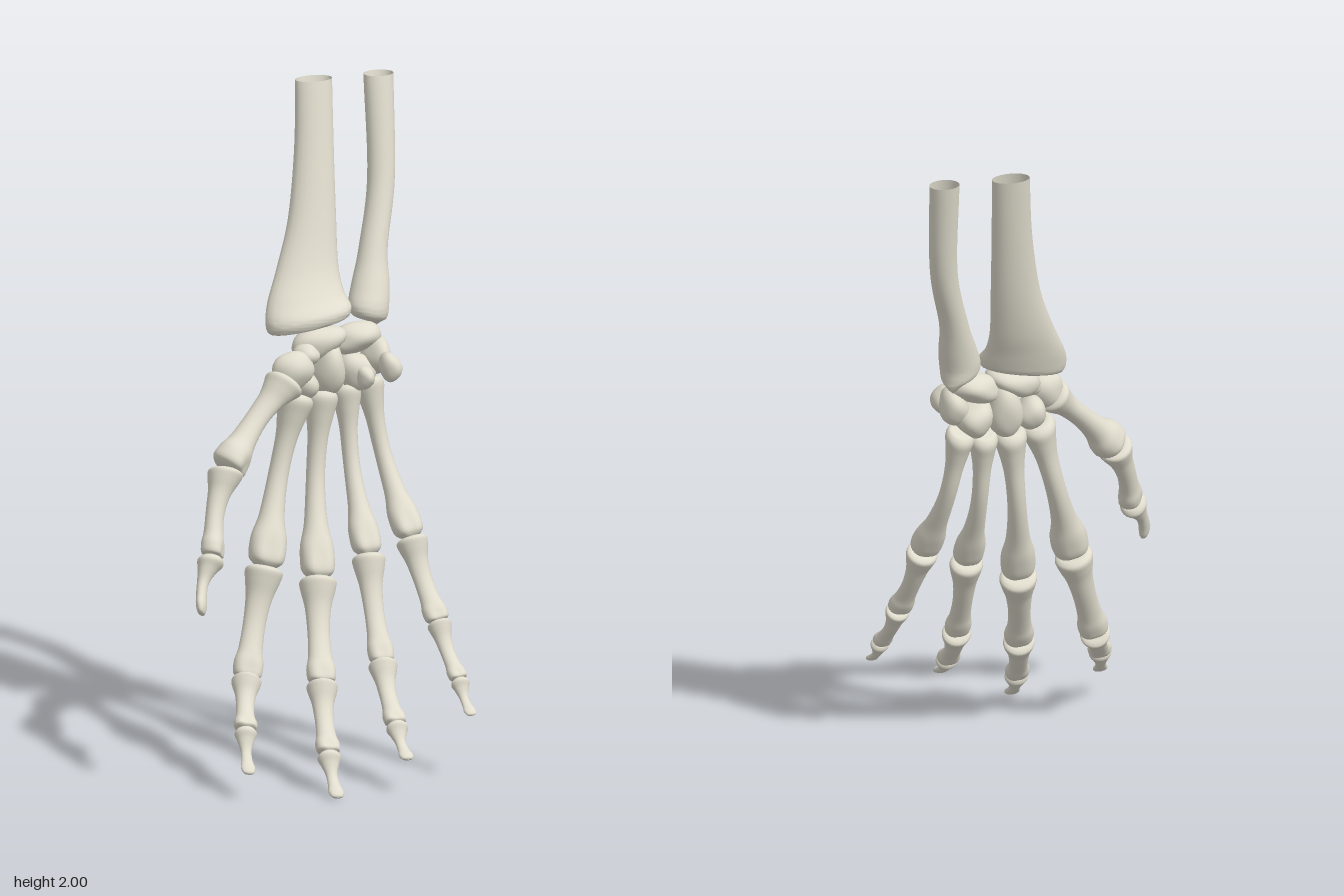
import * as THREE from 'three';
import { mergeVertices, toCreasedNormals } from 'three/addons/utils/BufferGeometryUtils.js';

const V = (x, y, z) => new THREE.Vector3(x, y, z);
const boneMaterial = new THREE.MeshStandardMaterial({ color: 0xe0dccd });
const openBoneMaterial = new THREE.MeshStandardMaterial({ color: 0xe0dccd, side: THREE.DoubleSide });
const SIDES = 24;

function mesh(name, geometry, material = boneMaterial) {
  const m = new THREE.Mesh(geometry, material);
  m.name = name;
  return m;
}

// Skin a list of rings { c: centre, s: side axis, n: palm axis, w, d: half sizes, notch, ridge }
function skin(rings) {
  const pos = [], idx = [];
  for (const { c, s, n, w, d, notch = 0, ridge = 0 } of rings) {
    for (let j = 0; j < SIDES; j++) {
      const a = (j / SIDES) * Math.PI * 2;
      const palm = Math.max(0, Math.sin(a)) ** 6, back = Math.max(0, -Math.sin(a)) ** 6;
      const k = 1 + ridge * Math.cos(2 * a + 0.9);
      const p = c.clone()
        .addScaledVector(s, w * k * Math.cos(a))
        .addScaledVector(n, d * k * Math.sin(a) * (1 - notch * palm - 0.4 * notch * back));
      pos.push(p.x, p.y, p.z);
    }
  }
  for (let i = 0; i < rings.length - 1; i++) {
    for (let j = 0; j < SIDES; j++) {
      const k = (j + 1) % SIDES, a = i * SIDES, b = a + SIDES;
      idx.push(a + j, a + k, b + j, a + k, b + k, b + j);
    }
  }
  const g = new THREE.BufferGeometry();
  g.setAttribute('position', new THREE.Float32BufferAttribute(pos, 3));
  g.setIndex(idx);
  g.computeVertexNormals();
  return g;
}

// Profiles along a bone: [position, half width, half depth], relative to its size
const PROFILES = {
  metacarpal: [[0, 0.01, 0.01], [0.004, 0.78, 0.88], [0.05, 0.96, 1.12], [0.14, 0.8, 0.94], [0.3, 0.58, 0.7],
    [0.52, 0.55, 0.64], [0.72, 0.68, 0.74], [0.86, 1, 1.02], [0.94, 1, 1.14], [0.99, 0.72, 0.8], [1, 0.01, 0.01]],
  phalanx: [[0, 0.01, 0.01], [0.005, 0.85, 0.82], [0.05, 1.04, 1.04], [0.14, 0.95, 0.92], [0.32, 0.72, 0.66],
    [0.58, 0.62, 0.54], [0.76, 0.67, 0.58], [0.88, 0.82, 0.74], [0.95, 0.8, 0.76], [0.99, 0.6, 0.56], [1, 0.01, 0.01]],
  tip: [[0, 0.01, 0.01], [0.01, 0.82, 0.76], [0.1, 1.05, 0.94], [0.25, 0.8, 0.68], [0.5, 0.5, 0.42],
    [0.7, 0.54, 0.38], [0.85, 0.68, 0.38], [0.95, 0.55, 0.28], [1, 0.01, 0.01]],
};

// A long bone between two joints; bow bends its middle towards the back of the hand
function bone(name, kind, from, to, size, bow, sideHint) {
  const dir = to.clone().sub(from).normalize();
  const side = sideHint.clone().addScaledVector(dir, -sideHint.dot(dir)).normalize();
  const palm = dir.clone().cross(side);
  const a = from.clone().addScaledVector(dir, 0.002), b = to.clone().addScaledVector(dir, -0.001);
  const middle = a.clone().lerp(b, 0.45).addScaledVector(palm, -bow);
  const path = new THREE.CatmullRomCurve3([a, middle, b]);
  const profile = new THREE.CatmullRomCurve3(PROFILES[kind].map((p) => V(...p)));
  const rings = [], steps = 44;
  for (let i = 0; i <= steps; i++) {
    const { x: t, y: w, z: d } = profile.getPoint(i / steps);
    const notch = kind === 'tip' ? 0 : 0.28 * THREE.MathUtils.smoothstep(t, 0.76, 0.95);
    rings.push({
      c: path.getPoint(THREE.MathUtils.clamp(t, 0, 1)), s: side, n: palm,
      w: Math.max(w, 0.005) * size, d: Math.max(d, 0.005) * size, notch, ridge: 0.03,
    });
  }
  return mesh(name, skin(rings));
}

// A forearm bone, open at the top, from sections [x, y, z, half width, half depth, slope], top to bottom
function forearmBone(name, sections, ridge) {
  const spline = (pick) => new THREE.CatmullRomCurve3(sections.map(pick), false, 'catmullrom', 0.5);
  const centre = spline((s) => V(s[0], s[1], s[2])), sizes = spline((s) => V(s[3], s[4], s[5]));
  const rings = [], steps = 48;
  for (let i = 0; i <= steps; i++) {
    const { x: w, y: d, z: slope } = sizes.getPoint(i / steps);
    rings.push({
      c: centre.getPoint(i / steps), s: V(1, slope, 0), n: V(0, 0, 1),
      w: Math.max(w, 0.001), d: Math.max(d, 0.001), ridge,
    });
  }
  return mesh(name, toCreasedNormals(skin(rings), 0.9), openBoneMaterial);
}

// A rounded, slightly lumpy wrist bone
function pebble(name, [x, y, z], [rx, ry, rz], tilt, seed) {
  let g = new THREE.SphereGeometry(1, 24, 16);
  g.deleteAttribute('uv');
  g.deleteAttribute('normal');
  g = mergeVertices(g, 1e-4);
  const p = g.attributes.position, v = V(0, 0, 0);
  for (let i = 0; i < p.count; i++) {
    v.fromBufferAttribute(p, i);
    const k = 1 + 0.1 * Math.sin(2.6 * v.x + seed) * Math.cos(2.9 * v.y - seed) + 0.07 * Math.sin(3.1 * v.z + 2 * seed);
    v.multiplyScalar(k);
    p.setXYZ(i, v.x * rx, v.y * ry, v.z * rz);
  }
  g.computeVertexNormals();
  const m = mesh(name, g);
  m.position.set(x, y, z);
  m.rotation.z = tilt;
  return m;
}

export function createModel() {
  const model = new THREE.Group();
  model.name = 'handSkeleton';

  // Forearm
  const forearm = new THREE.Group();
  forearm.name = 'forearm';
  forearm.add(
    forearmBone('radius', [
      [0.155, 2, -0.402, 0.056, 0.041, 0], [0.141, 1.8, -0.357, 0.06, 0.045, 0], [0.118, 1.6, -0.307, 0.073, 0.05, 0],
      [0.088, 1.46, -0.262, 0.094, 0.056, 0], [0.07, 1.38, -0.222, 0.116, 0.066, 0.05], [0.068, 1.335, -0.193, 0.13, 0.078, 0.12],
      [0.068, 1.305, -0.187, 0.124, 0.07, 0.15], [0.068, 1.3, -0.187, 0.1, 0.055, 0.15], [0.07, 1.322, -0.187, 0.002, 0.002, 0.1],
    ], 0.06),
    forearmBone('ulna', [
      [0.36, 2, -0.405, 0.045, 0.041, 0], [0.346, 1.7, -0.338, 0.041, 0.043, 0], [0.3, 1.5, -0.275, 0.043, 0.047, 0],
      [0.279, 1.4, -0.238, 0.057, 0.056, 0], [0.266, 1.34, -0.217, 0.061, 0.062, -0.05], [0.27, 1.305, -0.219, 0.052, 0.056, -0.1],
      [0.288, 1.285, -0.238, 0.026, 0.028, -0.1], [0.294, 1.264, -0.248, 0.002, 0.002, 0],
    ], 0.05),
  );
  model.add(forearm);

  // Wrist
  const wrist = new THREE.Group();
  wrist.name = 'wrist';
  wrist.add(
    pebble('trapezium', [-0.02, 1.187, -0.08], [0.066, 0.058, 0.05], 0.35, 1),
    pebble('trapezoid', [0.03, 1.135, -0.13], [0.046, 0.052, 0.062], 0.2, 2),
    pebble('scaphoid', [0.085, 1.252, -0.165], [0.086, 0.046, 0.06], 0.3, 3),
    pebble('scaphoidTubercle', [0.035, 1.222, -0.115], [0.042, 0.036, 0.045], 0.3, 1.5),
    pebble('lunate', [0.215, 1.25, -0.185], [0.076, 0.045, 0.06], 0.15, 4),
    pebble('capitate', [0.118, 1.165, -0.16], [0.054, 0.09, 0.068], -0.1, 5),
    pebble('hamate', [0.212, 1.15, -0.185], [0.058, 0.06, 0.064], 0.3, 6),
    pebble('hamateHook', [0.225, 1.14, -0.125], [0.026, 0.034, 0.04], 0.2, 7),
    pebble('triquetrum', [0.276, 1.192, -0.168], [0.043, 0.058, 0.068], -0.2, 8),
    pebble('pisiform', [0.287, 1.178, -0.085], [0.033, 0.045, 0.046], 0.1, 9),
  );
  model.add(wrist);

  // Digits: joints from the wrist to the tip, a size for each bone, bow of the first bone
  const digits = [
    ['thumb', [[-0.04, 1.165, -0.07], [-0.268, 0.935, 0.042], [-0.352, 0.7, 0.16], [-0.42, 0.55, 0.255]],
      [0.057, 0.053, 0.043], 0.012],
    ['indexFinger', [[0.01, 1.105, -0.125], [-0.133, 0.615, 0], [-0.23, 0.305, 0.115], [-0.282, 0.19, 0.263], [-0.309, 0.078, 0.375]],
      [0.055, 0.055, 0.043, 0.032], 0.038],
    ['middleFinger', [[0.1, 1.1, -0.16], [0.036, 0.565, -0.007], [-0.008, 0.285, 0.162], [-0.042, 0.112, 0.327], [-0.053, 0.002, 0.447]],
      [0.051, 0.054, 0.045, 0.034], 0.045],
    ['ringFinger', [[0.185, 1.105, -0.185], [0.194, 0.625, -0.007], [0.184, 0.332, 0.157], [0.172, 0.183, 0.322], [0.172, 0.1, 0.437]],
      [0.045, 0.048, 0.042, 0.032], 0.045],
    ['littleFinger', [[0.255, 1.12, -0.19], [0.328, 0.668, -0.006], [0.372, 0.435, 0.123], [0.396, 0.285, 0.247], [0.406, 0.194, 0.341]],
      [0.046, 0.046, 0.035, 0.027], 0.045],
  ];
  for (const [name, joints, sizes, bow] of digits) {
    const digit = new THREE.Group();
    digit.name = name;
    const pts = joints.map((j) => V(...j));
    const side = name === 'thumb' ? V(0.5, -0.65, -0.68) : V(1, 0, 0);
    sizes.forEach((size, i) => {
      const kind = i === 0 ? 'metacarpal' : i === sizes.length - 1 ? 'tip' : 'phalanx';
      const label = { metacarpal: 'Metacarpal', phalanx: i === 1 ? 'ProximalPhalanx' : 'MiddlePhalanx', tip: 'DistalPhalanx' }[kind];
      digit.add(bone(name + label, kind, pts[i], pts[i + 1], size, i === 0 ? bow : 0.014, side));
    });
    model.add(digit);
  }
  return model;
}
